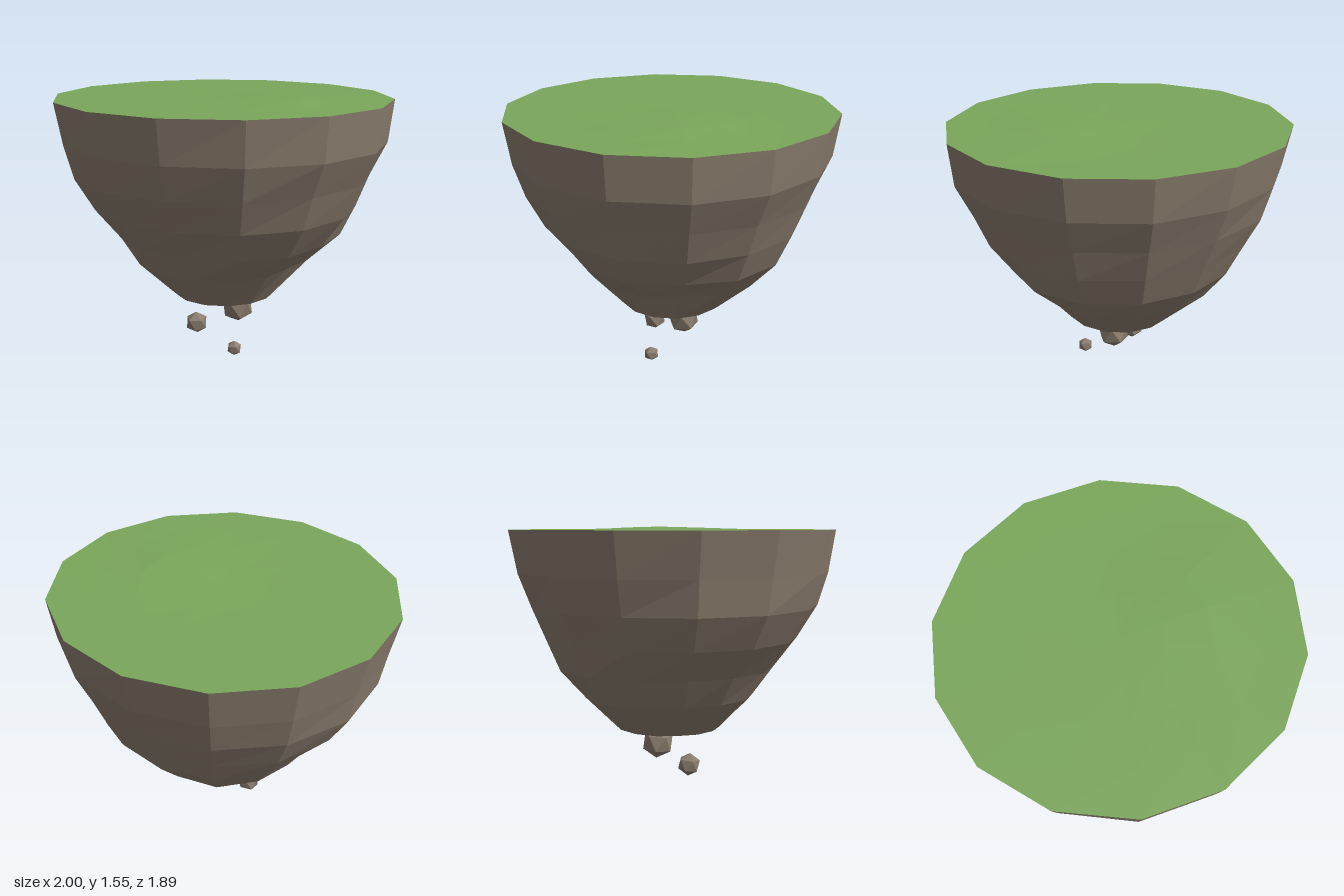
import * as THREE from 'three';

const SIDES = 14;
const DEPTH = 0.97; // slight squash along z

// Small seeded generator for the rugged facets
function seeded(seed) {
  let s = seed;
  return () => (s = (s * 16807) % 2147483647) / 2147483647;
}

// Each ring: height, ruggedness, then radii in eight directions from +x round by +z
const RINGS = [
  [1.54, 0, 1, 1, 1, 1, 1, 1, 1, 1],
  [1.295, 0.01, 0.975, 0.965, 0.96, 0.95, 0.945, 0.95, 0.955, 0.965],
  [1.1, 0.015, 0.88, 0.89, 0.9, 0.905, 0.91, 0.89, 0.87, 0.875],
  [0.91, 0.02, 0.8, 0.81, 0.785, 0.79, 0.8, 0.8, 0.79, 0.81],
  [0.73, 0.03, 0.67, 0.68, 0.635, 0.635, 0.635, 0.69, 0.715, 0.74],
  [0.56, 0.04, 0.45, 0.5, 0.51, 0.515, 0.52, 0.56, 0.53, 0.57],
  [0.35, 0.02, 0.315, 0.315, 0.31, 0.295, 0.28, 0.31, 0.335, 0.325],
];

// Closed ring of points, blending between the eight directions
function ringPoints([y, rugged, ...radii], random) {
  return Array.from({ length: SIDES }, (_, i) => {
    const t = (i / SIDES) * 8;
    const q = Math.floor(t);
    const f = t - q;
    const wobble = i % 7 === 0 ? 0 : (random() - 0.5) * rugged;
    const r = (radii[q] * (1 - f) + radii[(q + 1) % 8] * f) * (1 + wobble);
    const a = (i / SIDES) * Math.PI * 2;
    return new THREE.Vector3(Math.cos(a) * r, y, Math.sin(a) * r * DEPTH);
  });
}

// Faceted surface through rings: top down faces outwards, centre out faces up
function loft(rings) {
  const points = [];
  for (let k = 0; k < rings.length - 1; k++) {
    for (let i = 0; i < SIDES; i++) {
      const j = (i + 1) % SIDES;
      const a = rings[k][i], b = rings[k][j], c = rings[k + 1][j], d = rings[k + 1][i];
      points.push(a, b, c, a, c, d);
    }
  }
  const geometry = new THREE.BufferGeometry().setFromPoints(points);
  geometry.computeVertexNormals();
  return geometry;
}

export function createModel() {
  const island = new THREE.Group();
  island.name = 'floatingIsland';
  const earth = new THREE.MeshStandardMaterial({ color: 0x8a7c6d, flatShading: true });
  earth.name = 'earth brown';
  const grass = new THREE.MeshStandardMaterial({ color: 0x7aa65a, flatShading: true });
  grass.name = 'grass green';

  const add = (name, geometry, material) => {
    const mesh = new THREE.Mesh(geometry, material);
    mesh.name = name;
    island.add(mesh);
    return mesh;
  };

  // Rocky underside, closed by a flat bottom
  const random = seeded(77);
  const rings = RINGS.map((ring) => ringPoints(ring, random));
  rings.push(Array(SIDES).fill(new THREE.Vector3(0, 0.35, 0)));
  add('earthBody', loft(rings), earth);

  // Grass top with a very low swell on the +x side
  const turf = [0, 0.25, 0.5, 0.75, 1].map((scale) =>
    rings[0].map((p) => {
      const x = p.x * scale, z = p.z * scale;
      const swell = 0.018 * Math.exp(-((x - 0.42) ** 2 + z * z) / 0.1);
      return new THREE.Vector3(x, 1.54 + (scale < 1 ? swell : 0), z);
    }));
  add('grassTop', loft(turf), grass);

  // Loose rocks drifting below, each with a corner pointing up
  const rocks = [
    [0.068, 0.233, -0.07, 0.1],
    [-0.13, 0.137, 0.092, 0.07],
    [0.176, 0.05, 0.14, 0.046],
  ];
  rocks.forEach(([x, y, z, r], i) => {
    const rock = add(`looseRock${i + 1}`, new THREE.IcosahedronGeometry(r, 0), earth);
    rock.position.set(x, y, z);
    rock.rotation.set(0.1, 0.4 + i, 0.55);
  });
  return island;
}
